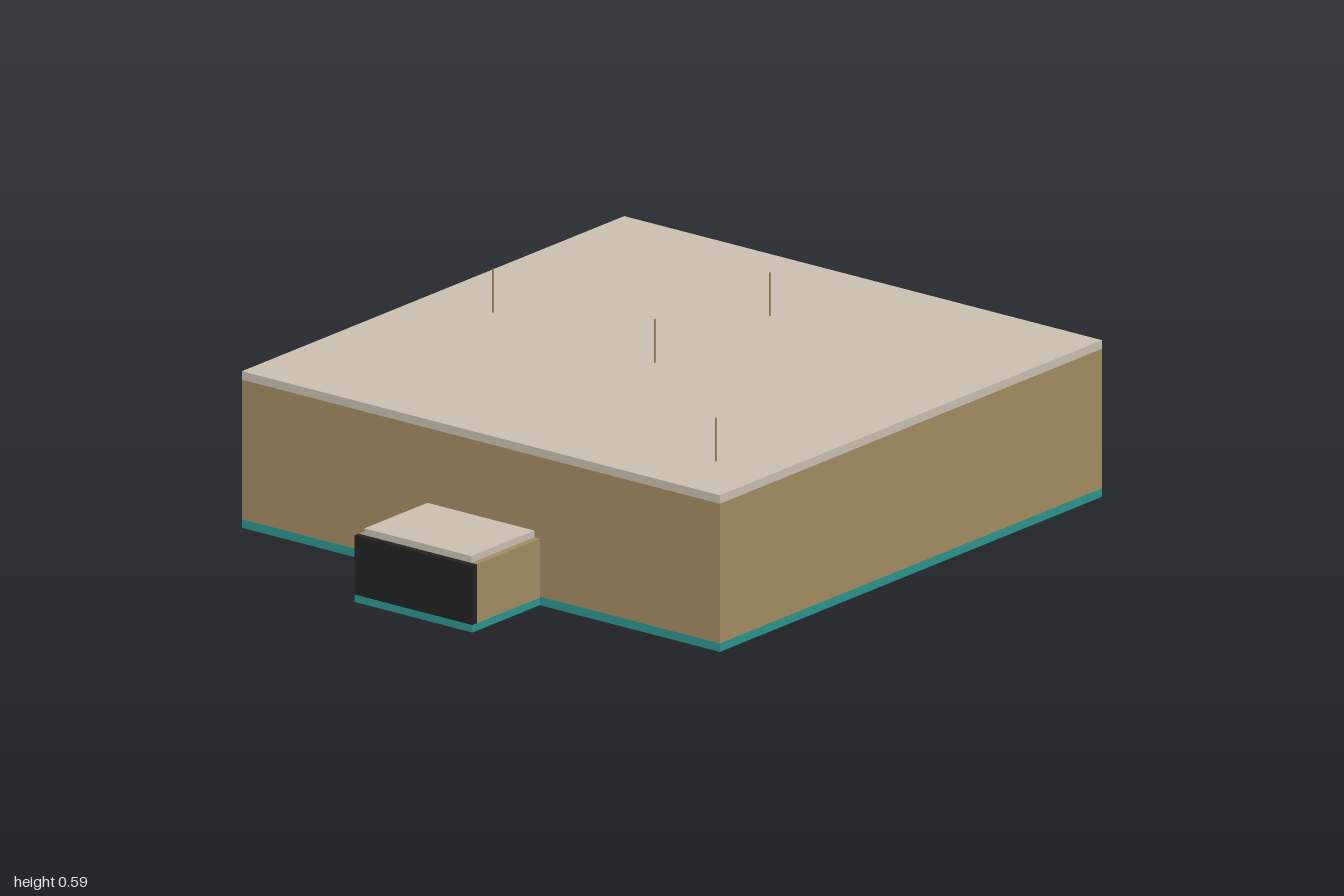
import * as THREE from 'three';

const material = (name, color) => {
  const m = new THREE.MeshStandardMaterial({ color });
  m.name = name;
  return m;
};

export function createModel() {
  const group = new THREE.Group();
  const tan = material('tan wall', 0xa58d63);
  const stone = material('pale roof', 0xcac1b2);
  const teal = material('teal base', 0x2c9690);
  const black = material('black door', 0x222222);

  // Box given by its minimum and maximum on each axis
  const block = (name, mat, [x0, x1], [y0, y1], [z0, z1]) => {
    const mesh = new THREE.Mesh(new THREE.BoxGeometry(x1 - x0, y1 - y0, z1 - z0), mat);
    mesh.position.set((x0 + x1) / 2, (y0 + y1) / 2, (z0 + z1) / 2);
    mesh.name = name;
    group.add(mesh);
  };

  // Main hall
  block('hallBase', teal, [-0.85, 0.85], [0, 0.025], [-1, 0.7]);
  block('hallWalls', tan, [-0.85, 0.85], [0.025, 0.435], [-1, 0.7]);
  block('hallRoof', stone, [-0.85, 0.85], [0.435, 0.46], [-1, 0.7]);

  // Entrance porch
  block('porchBase', teal, [-0.21, 0.21], [0, 0.022], [0.7, 1]);
  block('porchWalls', tan, [-0.21, 0.21], [0.022, 0.195], [0.7, 0.98]);
  block('porchDoor', black, [-0.21, 0.21], [0.022, 0.195], [0.98, 1]);
  block('porchRoof', stone, [-0.19, 0.19], [0.195, 0.215], [0.7, 0.98]);

  // Thin roof poles
  const w = 0.002;
  for (const [x, z] of [[-0.62, -0.13], [0, -0.585], [0, -0.075], [0.66, 0.48]]) {
    block('roofPole', tan, [x - w, x + w], [0.46, 0.588], [z - w, z + w]);
  }
  return group;
}
